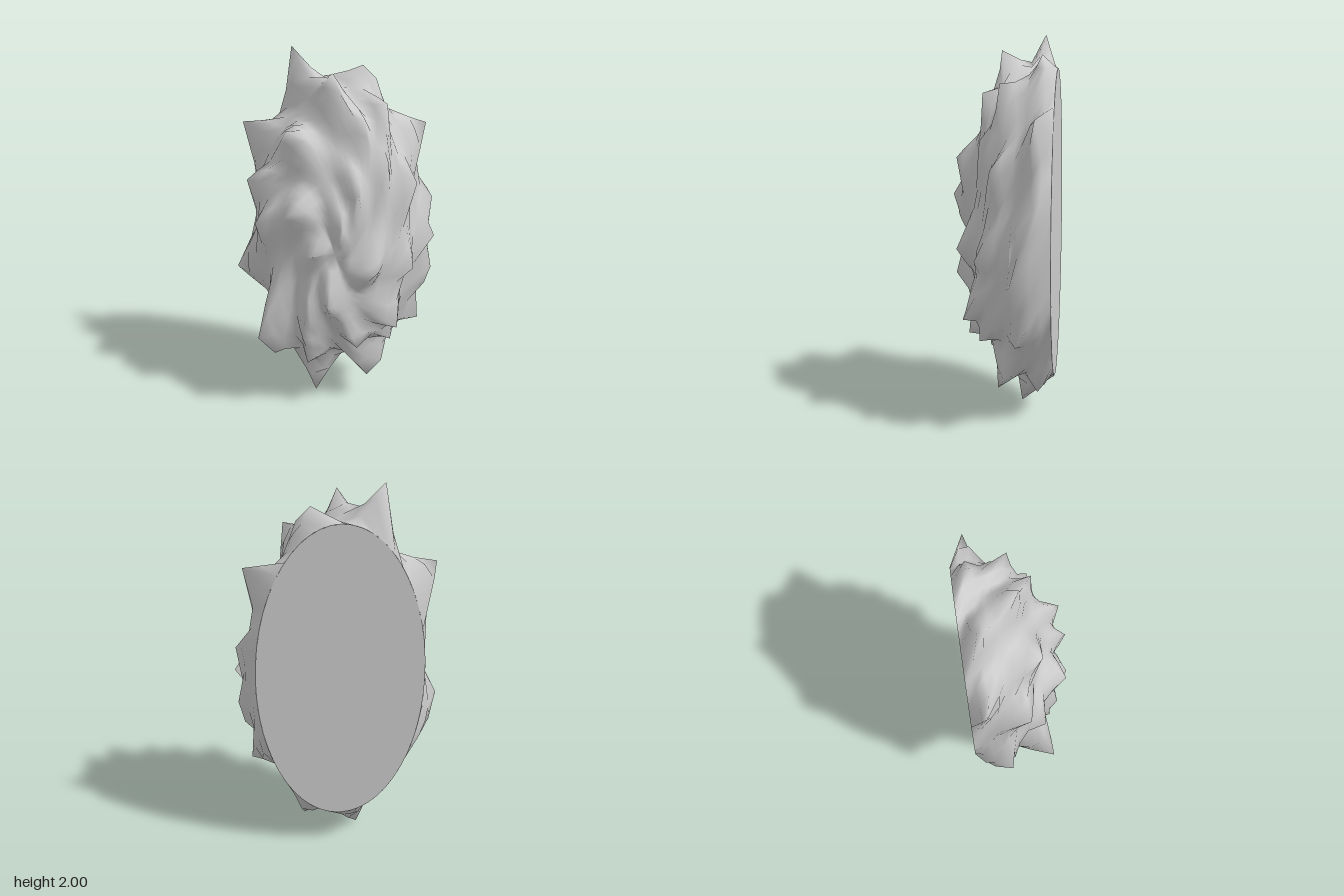
import * as THREE from 'three';

// Half-ellipsoid: radii, centre height and back plane
const RX = 0.43, RY = 0.815, RZ = 0.45, CY = 1.015, BACK = -0.27;
const AROUND = 52, RINGS = 16, HALF_PI = Math.PI / 2;

// Tips of the spikes (x, y, z)
const TIPS = [
  // rear rows, close to the rim
  [-0.22, 2.0, -0.19], [0.14, 1.9, -0.2], [0.21, 1.83, -0.2], [0.47, 1.6, -0.19], [-0.48, 1.6, -0.19],
  [0.52, 1.18, -0.19], [0.53, 1.0, -0.08], [0.52, 0.81, -0.08], [-0.53, 0.81, -0.08], [-0.48, 0.7, -0.17],
  [0.46, 0.48, -0.1], [-0.11, 0.0, -0.08], [-0.17, 0.15, -0.08], [0.19, 0.16, -0.19], [0.49, 0.7, -0.1],
  // middle rows
  [-0.01, 1.92, 0.02], [0.26, 1.76, 0.0], [-0.45, 1.36, 0.02], [0.42, 1.35, 0.03], [-0.33, 0.35, 0.08],
  [0.26, 0.24, -0.02], [0.18, 0.17, 0.02], [-0.24, 1.65, 0.1], [0.15, 1.71, 0.1], [-0.41, 0.5, 0.17],
  [-0.41, 1.15, 0.1], [0.41, 0.9, 0.11], [0.3, 0.46, 0.1], [-0.15, 0.3, 0.1], [0.27, 1.48, 0.1],
  // front rows
  [0.33, 0.58, 0.18], [0.12, 0.45, 0.18], [-0.22, 1.26, 0.23], [0.12, 1.38, 0.24], [0.04, 1.18, 0.27],
  [-0.15, 0.67, 0.22], [-0.03, 0.74, 0.27], [0.21, 0.92, 0.23], [-0.11, 1.04, 0.26], [-0.17, 0.5, 0.18],
];

// Each tip as a point, and as colatitude, azimuth and radial factor on the ellipsoid
const spikes = TIPS.map(([x, y, z]) => {
  const q = new THREE.Vector3(x / RX, (y - CY) / RY, (z - BACK) / RZ);
  const m = q.length();
  return { tip: [x, y, z], t: Math.acos(q.z / m), a: Math.atan2(q.y, q.x), m };
});

// Distance from a spike's axis, measured in feet: the foot is long along the swirl
function reach(p, t, a) {
  const dt = t - p.t;
  const turn = Math.atan2(Math.sin(a - p.a), Math.cos(a - p.a));
  const da = turn * Math.sin((t + p.t) / 2);
  return Math.hypot((0.78 * dt + 0.62 * da) / 0.42, (-0.62 * dt + 0.78 * da) / 0.25);
}

// Radial factor of the shell: swirling ripple plus the highest nearby spike
function swell(t, a) {
  const rim = Math.min(1, (HALF_PI - t) / 0.1);
  let s = 1 + 0.02 * Math.sin(13 * (a - 0.9 * t)) * Math.sin(t);
  for (const p of spikes) {
    const d = reach(p, t, a);
    if (d < 1) s = Math.max(s, 1 + (p.m - 1) * Math.pow(1 - d, 1.5));
  }
  return 1 + (s - 1) * rim;
}

function shellGeometry() {
  const grid = [], index = [];
  for (let i = 1; i <= RINGS; i++) {
    const t = HALF_PI * i / RINGS;
    for (let j = 0; j < AROUND; j++) {
      const a = 2 * Math.PI * j / AROUND + 0.8 * t;
      const s = swell(t, a);
      grid.push({ t, a, p: [RX * s * Math.sin(t) * Math.cos(a), CY + RY * s * Math.sin(t) * Math.sin(a), BACK + RZ * s * Math.cos(t)] });
    }
  }
  // pull the closest vertex out to each sharp tip, leaving the rim alone
  const inner = grid.slice(0, -AROUND);
  for (const s of spikes) {
    const nearest = inner.reduce((b, v) => (reach(s, v.t, v.a) < reach(s, b.t, b.a) ? v : b));
    nearest.p = s.tip;
  }
  const id = (i, j) => 1 + (i - 1) * AROUND + j % AROUND;
  for (let j = 0; j < AROUND; j++) {
    index.push(0, id(1, j), id(1, j + 1));
    for (let i = 1; i < RINGS; i++) {
      const a = id(i, j), b = id(i + 1, j), c = id(i + 1, j + 1), d = id(i, j + 1);
      index.push(a, b, c, a, c, d);
    }
  }
  const pos = [0, CY, BACK + RZ, ...grid.flatMap((v) => v.p)];
  const g = new THREE.BufferGeometry();
  g.setAttribute('position', new THREE.Float32BufferAttribute(pos, 3));
  g.setIndex(index);
  g.computeVertexNormals();
  return g;
}

export function createModel() {
  const group = new THREE.Group();
  const material = new THREE.MeshStandardMaterial({ color: 0xcccccc, side: THREE.DoubleSide });

  // Spiky swirled shell
  const shell = new THREE.Mesh(shellGeometry(), material);
  shell.name = 'spikyShell';

  // Flat oval back
  const back = new THREE.Mesh(new THREE.CircleGeometry(1, AROUND), material);
  back.name = 'flatBack';
  back.scale.set(RX, RY, 1);
  back.rotation.y = Math.PI;
  back.position.set(0, CY, BACK);

  group.add(shell, back);
  return group;
}
